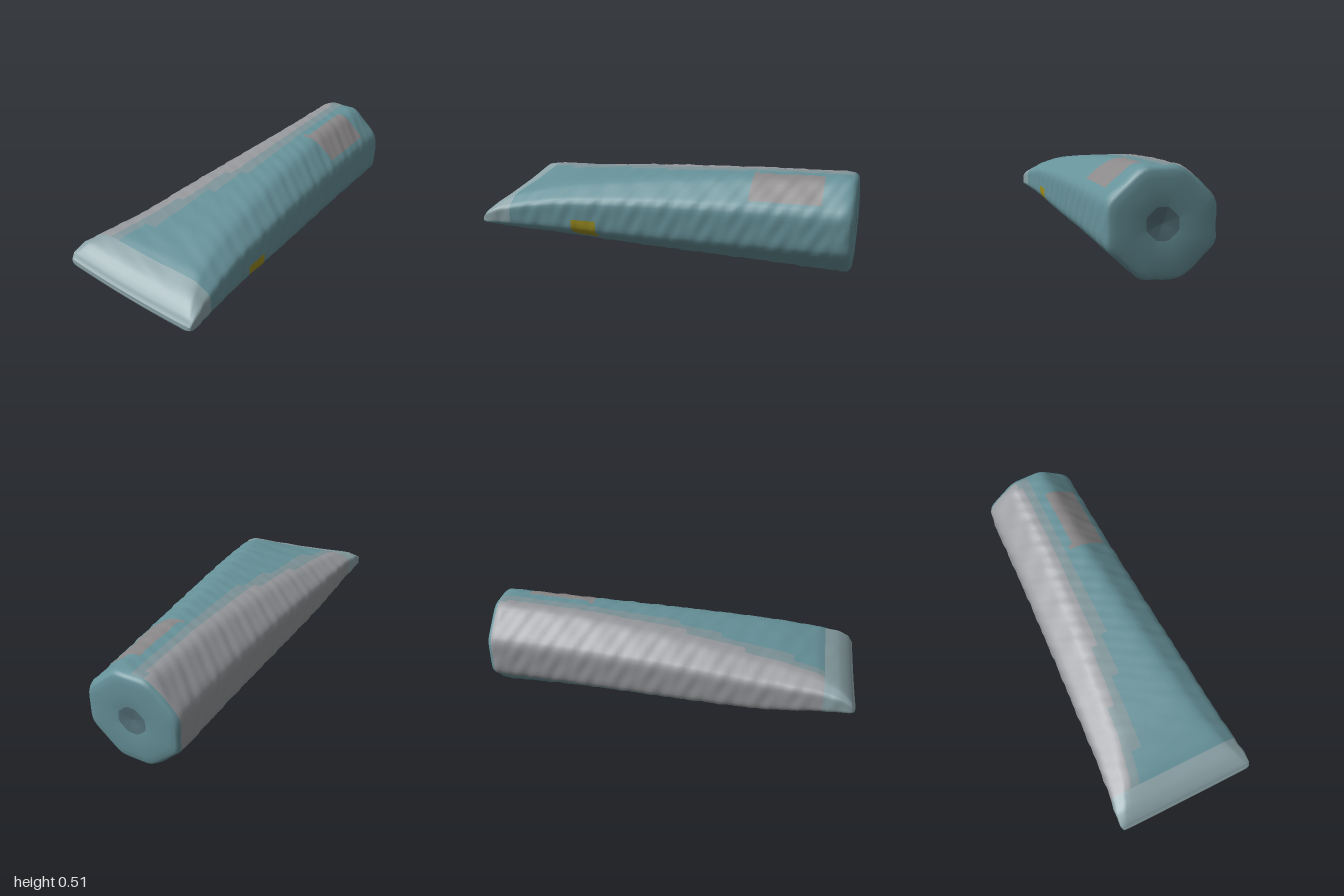
import * as THREE from 'three';

// Stations along the length: z, half width, top y, bottom y, half width of top flat, half height of side flat
const STATIONS = [
  [-0.985, 0.248, 0.503, 0.006, 0.088, 0.1],
  [-0.96, 0.256, 0.511, 0.0, 0.095, 0.105],
  [-0.5, 0.274, 0.495, 0.018, 0.105, 0.105],
  [0, 0.302, 0.46, 0.045, 0.145, 0.1],
  [0.3, 0.322, 0.43, 0.07, 0.18, 0.09],
  [0.6, 0.342, 0.395, 0.1, 0.215, 0.075],
  [0.8, 0.364, 0.358, 0.132, 0.265, 0.055],
  [0.92, 0.382, 0.31, 0.165, 0.32, 0.04],
  [0.975, 0.385, 0.262, 0.188, 0.35, 0.026],
  [0.995, 0.378, 0.228, 0.2, 0.36, 0.01],
];
const PER_EDGE = 8, AROUND = PER_EDGE * 8;
const lerp = THREE.MathUtils.lerp;

function stationAt(z) {
  let k = 0;
  while (k < STATIONS.length - 2 && z > STATIONS[k + 1][0]) k++;
  const a = STATIONS[k], b = STATIONS[k + 1];
  const t = THREE.MathUtils.clamp((z - a[0]) / (b[0] - a[0]), 0, 1);
  return a.map((v, i) => lerp(v, b[i], t));
}

// Softened octagon, counter-clockwise, starting on the +x side
function section(z) {
  const [, w, top, bottom, flat, side] = stationAt(z);
  const mid = (top + bottom) / 2, h = (top - bottom) / 2;
  const s = Math.min(side, h * 0.8);
  const corners = [[w, -s], [w, s], [flat, h], [-flat, h], [-w, s], [-w, -s], [-flat, -h], [flat, -h]];
  let pts = [];
  corners.forEach((c, i) => {
    const d = corners[(i + 1) % 8];
    for (let k = 0; k < PER_EDGE; k++) pts.push([lerp(c[0], d[0], k / PER_EDGE), lerp(c[1], d[1], k / PER_EDGE)]);
  });
  for (let pass = 0; pass < 2; pass++) {
    pts = pts.map((p, i) => {
      const q = pts[(i + AROUND - 1) % AROUND], r = pts[(i + 1) % AROUND];
      return [(q[0] + 2 * p[0] + r[0]) / 4, (q[1] + 2 * p[1] + r[1]) / 4];
    });
  }
  return { pts, mid };
}

// Painted areas, chosen by position
const COLORS = {
  tealBody: 0x67929a,
  blendBand: 0x7d9398,
  greySide: 0x96989c,
  paleTip: 0x8ba2a7,
  greyPatch: 0x8a8888,
  yellowMark: 0x9a8d22,
  endDent: 0x55717a,
};
function areaAt(x, y, z) {
  if (z < -0.975 && Math.hypot(x, y - 0.255) < 0.07) return 'endDent';
  if (z < -0.975) return 'tealBody';
  if (z > 0.34 && z < 0.5 && ((x > 0.26 && y > 0.09 && y < 0.22) || (x < -0.19 && y < 0.15))) return 'yellowMark';
  if (z > 0.84 && y > 0.19) return 'paleTip';
  if (z > -0.84 && z < -0.45 && x > 0.04 && x < 0.23 && y > 0.37) return 'greyPatch';
  const limit = -0.03 - 0.2 * Math.max(0, z + 0.1);
  if (y > 0.15 && x < limit - 0.03) return 'greySide';
  if (y > 0.11 && x < limit + 0.04) return 'blendBand';
  return 'tealBody';
}

export function createModel() {
  // Rows: [z, scale toward the axis], with both ends closed
  const rows = [[-0.982, 0.001], [-0.986, 0.12], [-0.994, 0.3], [-1, 0.55], [-0.997, 0.8], [-0.993, 0.93], [-0.985, 0.985]];
  for (let i = 0; i <= 84; i++) rows.push([lerp(-0.97, 0.975, i / 84), 1]);
  rows.push([0.985, 1], [0.995, 1], [1, 0.96], [0.998, 0.5], [0.997, 0.001]);

  const pos = [];
  for (const [z, scale] of rows) {
    const { pts, mid } = section(z);
    const tilt = THREE.MathUtils.smoothstep(z, 0.45, 1);
    for (const [px, py] of pts) {
      const a = Math.atan2(py, px);
      // Shallow hammered ripple over the shaft
      const bump = scale === 1 && z < 0.95
        ? 0.0022 * Math.sin(z * 41 + 3 * Math.sin(a * 2)) * Math.sin(a * 7 + z * 9) + 0.0014 * Math.sin(z * 83 + a * 11) : 0;
      const x = px * scale + bump * Math.cos(a);
      // The cutting edge leans down toward +x
      const y = mid + py * scale + bump * Math.sin(a) + tilt * (0.1 * x * x - 0.085 * x);
      pos.push(x, Math.max(0, y), z);
    }
  }

  // Sort the faces into their painted areas
  const faces = {}, all = [];
  for (let i = 0; i < rows.length - 1; i++) {
    for (let j = 0; j < AROUND; j++) {
      const k = (j + 1) % AROUND;
      const a = i * AROUND + j, b = i * AROUND + k, c = a + AROUND, d = b + AROUND;
      const mean = (o) => (pos[a * 3 + o] + pos[d * 3 + o]) / 2;
      const quad = [a, b, c, b, d, c];
      all.push(...quad);
      (faces[areaAt(mean(0), mean(1), mean(2))] ??= []).push(...quad);
    }
  }

  // Smooth normals come from the whole skin, so the areas join without seams
  const skin = new THREE.BufferGeometry();
  skin.setAttribute('position', new THREE.Float32BufferAttribute(pos, 3));
  skin.setIndex(all);
  skin.computeVertexNormals();

  const group = new THREE.Group();
  group.name = 'chiselWedge';
  for (const [name, index] of Object.entries(faces)) {
    const geometry = new THREE.BufferGeometry();
    geometry.setAttribute('position', skin.getAttribute('position'));
    geometry.setAttribute('normal', skin.getAttribute('normal'));
    geometry.setIndex(index);
    const mesh = new THREE.Mesh(geometry, new THREE.MeshStandardMaterial({ color: COLORS[name] }));
    mesh.name = name;
    group.add(mesh);
  }
  return group;
}
